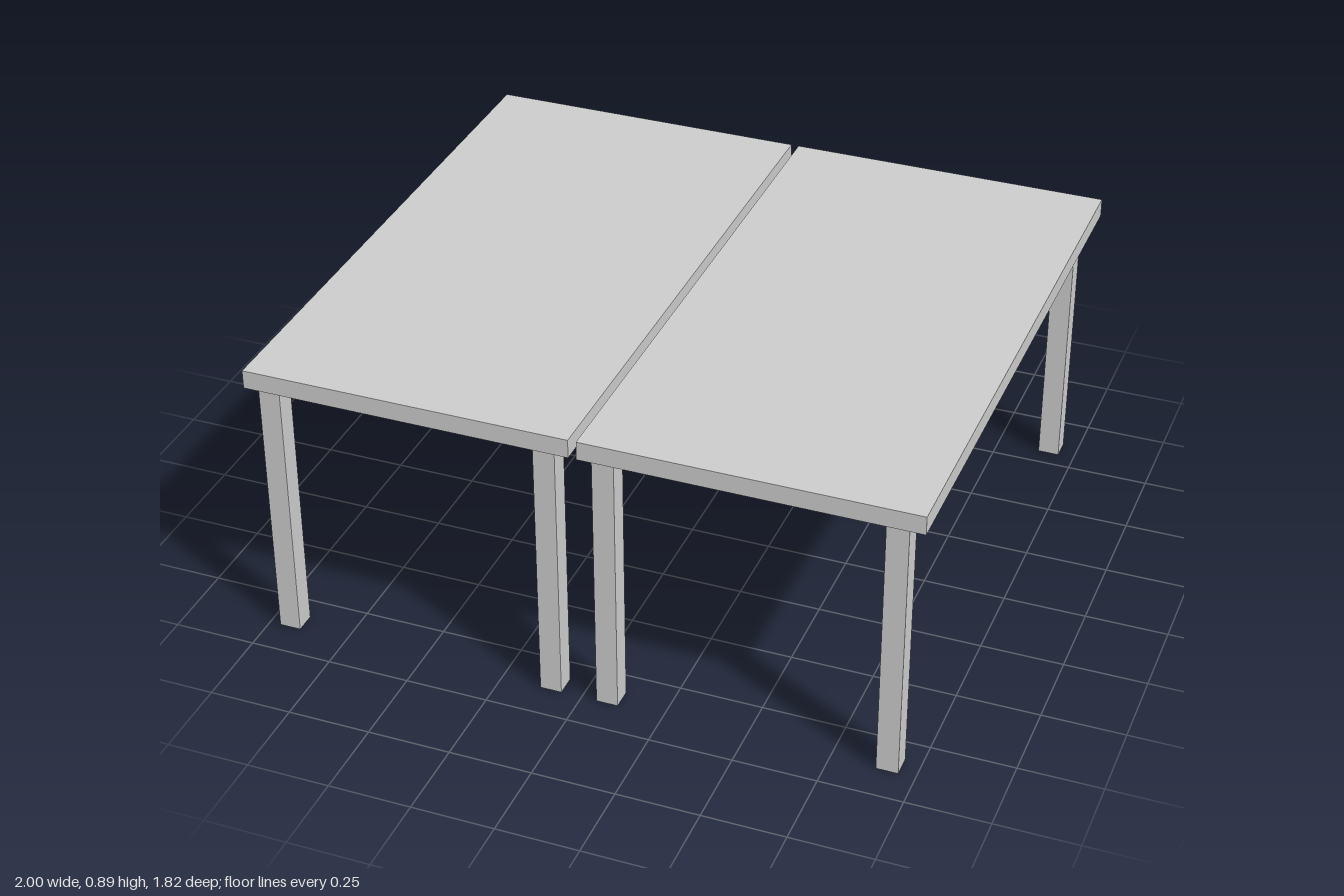
import * as THREE from 'three';

const TOP = { width: 0.988, height: 0.057, depth: 1.824 };
const LEG = { size: 0.065, height: 0.835 };

const material = new THREE.MeshStandardMaterial({ color: 0xcccccc, flatShading: true });

// Box standing on height y
function box(name, w, h, d, x, y, z) {
  const mesh = new THREE.Mesh(new THREE.BoxGeometry(w, h, d), material);
  mesh.name = name;
  mesh.position.set(x, y + h / 2, z);
  return mesh;
}

// One table: a slab on four square legs, set slightly off-centre
function createTable(name) {
  const table = new THREE.Group();
  table.name = name;
  table.add(box('tabletop', TOP.width, TOP.height, TOP.depth, 0, LEG.height, 0));
  for (const [side, x] of [['Right', -0.427], ['Left', 0.411]]) {
    for (const [end, z] of [['front', 0.858], ['back', -0.842]]) {
      table.add(box(`${end}${side}Leg`, LEG.size, LEG.height, LEG.size, x, 0, z));
    }
  }
  return table;
}

export function createModel() {
  const model = new THREE.Group();
  model.name = 'tablePair';

  // Two identical tables side by side with a narrow gap
  for (const [name, x] of [['rightTable', -0.506], ['leftTable', 0.506]]) {
    const table = createTable(name);
    table.position.x = x;
    model.add(table);
  }
  return model;
}
